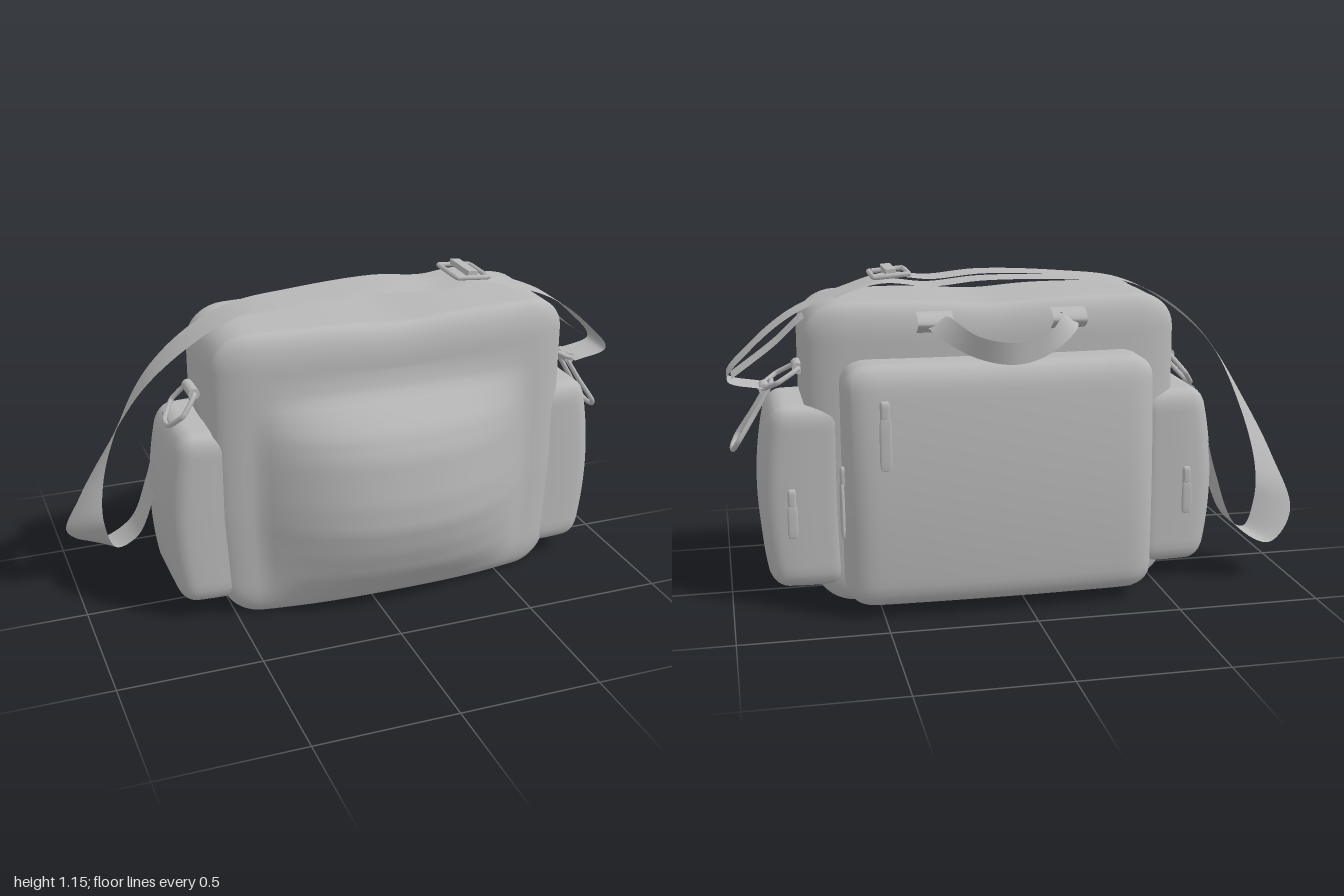
import * as THREE from 'three';
import { mergeVertices } from 'three/addons/utils/BufferGeometryUtils.js';

const V = (x, y, z) => new THREE.Vector3(x, y, z);
const clamp = THREE.MathUtils.clamp;

export function createModel() {
  const bag = new THREE.Group();
  bag.name = 'shoulderBag';
  const fabric = new THREE.MeshStandardMaterial({ color: 0xb8b8b8, side: THREE.DoubleSide });
  fabric.name = 'grey fabric';

  function add(name, geometry, parent = bag) {
    const mesh = new THREE.Mesh(geometry, fabric);
    mesh.name = name;
    parent.add(mesh);
    return mesh;
  }

  // Box from lo to hi with elliptical corner radii, then bent by a rule
  function softBox(lo, hi, radius, warp, seg = 30) {
    const half = hi.map((h, i) => (h - lo[i]) / 2);
    const mid = hi.map((h, i) => (h + lo[i]) / 2);
    let g = new THREE.BoxGeometry(half[0] * 2, half[1] * 2, half[2] * 2, seg, seg, seg);
    g.deleteAttribute('uv');
    g.deleteAttribute('normal');
    g = mergeVertices(g, 1e-5);
    const pos = g.attributes.position;
    const p = V(), d = V(), core = V();
    for (let i = 0; i < pos.count; i++) {
      p.fromBufferAttribute(pos, i);
      for (let k = 0; k < 3; k++) {
        const inner = half[k] - radius[k];
        const c = clamp(p.getComponent(k), -inner, inner);
        core.setComponent(k, c);
        d.setComponent(k, (p.getComponent(k) - c) / radius[k]);
      }
      d.normalize();
      for (let k = 0; k < 3; k++) {
        p.setComponent(k, mid[k] + core.getComponent(k) + d.getComponent(k) * radius[k]);
      }
      if (warp) warp(p);
      pos.setXYZ(i, p.x, p.y, p.z);
    }
    g.computeVertexNormals();
    return g;
  }

  // Flat band through rows of [x, y, z, widthX, widthY, widthZ]
  function ribbon(rows, width, steps = 80) {
    const edge = (s) => new THREE.CatmullRomCurve3(rows.map(([x, y, z, a, b, c]) =>
      V(x, y, z).addScaledVector(V(a, b, c).normalize(), s * width / 2)));
    const left = edge(-1), right = edge(1), pts = [], index = [];
    for (let i = 0; i <= steps; i++) {
      pts.push(left.getPoint(i / steps), right.getPoint(i / steps));
      if (i < steps) index.push(2 * i, 2 * i + 1, 2 * i + 2, 2 * i + 1, 2 * i + 3, 2 * i + 2);
    }
    const g = new THREE.BufferGeometry().setFromPoints(pts);
    g.setIndex(index);
    g.computeVertexNormals();
    return g;
  }

  // Closed wire loop
  const wire = (points, r) => new THREE.TubeGeometry(
    new THREE.CatmullRomCurve3(points.map((p) => V(...p)), true, 'catmullrom', 0.35), 48, r, 8, true);

  // Swell of the front panel as [height, depth]
  const swell = [[0, 0.01], [0.08, 0.05], [0.16, 0.11], [0.26, 0.15], [0.36, 0.175], [0.46, 0.174],
    [0.62, 0.152], [0.7, 0.12], [0.76, 0.07], [0.82, 0.015], [0.88, 0], [1.2, 0]];
  function swellAt(y) {
    const i = clamp(swell.findIndex((s) => s[0] >= y), 1, swell.length - 1);
    const [a, b] = [swell[i - 1], swell[i]];
    return THREE.MathUtils.lerp(a[1], b[1], clamp((y - a[0]) / (b[0] - a[0]), 0, 1));
  }

  // Main compartment with swollen front and slightly dipped top
  add('mainBody', softBox([-0.56, 0.005, -0.235], [0.735, 1.055, 0.245], [0.14, 0.12, 0.055], (p) => {
    const u = clamp(Math.abs(p.x - 0.08) / 0.65, 0, 1);
    p.z *= 1 - 0.17 * u ** 3;
    if (p.z > 0) {
      const f = Math.max(0, 1 - (Math.abs(p.x - 0.08) / 0.5) ** 2.3);
      p.z += swellAt(p.y) * f * clamp(p.z / 0.2, 0, 1);
    }
    if (p.y > 0.9) p.y -= 0.015 * Math.exp(-(((p.x - 0.1) / 0.15) ** 2));
    if (p.y < 0.4) p.x = 0.0875 + (p.x - 0.0875) * (1 - 0.04 * (1 - p.y / 0.4));
  }, 44));

  // Back pocket, thickest below its middle
  add('backPocket', softBox([-0.44, 0.04, -0.375], [0.62, 0.87, -0.15], [0.09, 0.075, 0.06], (p) => {
    if (p.z > -0.25) return;
    const w = (-0.25 - p.z) / 0.125;
    const u = (p.x - 0.09) / 0.53, v = (p.y - 0.38) / 0.48;
    p.z -= w * (0.04 * (1 - 0.5 * u * u) - 0.035 * v * v);
  }));

  // Side pockets, bulging outwards at mid height
  for (const [name, x0, x1, side] of [['leftPocket', 0.6, 0.85, 1], ['rightPocket', -0.675, -0.44, -1]]) {
    add(name, softBox([x0, 0.07, -0.21], [x1, 0.71, 0.19], [0.05, 0.06, 0.05], (p) => {
      const out = side > 0 ? (p.x - x0) / (x1 - x0) : (x1 - p.x) / (x1 - x0);
      p.x += side * out * 0.045 * Math.max(0, 1 - ((p.y - 0.37) / 0.34) ** 2);
      p.z *= 1 - 0.12 * out ** 4;
    }, 24));
  }

  // Shoulder strap: over the top, then a twisted loop on one side
  add('shoulderStrap', ribbon([
    [0.86, 0.75, 0, 0, 0, 1], [0.985, 0.785, 0, 0, 0, 1], [0.9, 0.89, 0, 0, 0, 1], [0.76, 1.0, 0.005, 0, 0, 1],
    [0.58, 1.075, 0.005, 0, 0, 1], [0.42, 1.12, 0.005, 0, 0, 1], [0.28, 1.11, 0.005, 0, 0, 1],
    [0.1, 1.125, 0, 0, 0, 1], [-0.2, 1.11, 0, 0, 0, 1], [-0.42, 1.08, -0.005, 0, 0, 1],
    [-0.58, 1.0, -0.015, 0, 0, 1], [-0.74, 0.85, -0.04, -0.2, 0, 1], [-0.86, 0.62, -0.09, -0.5, 0, 1],
    [-0.93, 0.42, -0.14, -0.9, 0, 0.8], [-0.955, 0.26, -0.18, -1, -0.3, -0.3], [-0.88, 0.16, -0.215, -0.4, -0.2, -1],
    [-0.78, 0.22, -0.19, 0, 0, -1], [-0.72, 0.4, -0.14, 0, 0, -1], [-0.69, 0.58, -0.08, 0, 0, -1],
    [-0.665, 0.7, -0.04, 0, 0, -1]], 0.14, 160));
  add('strapUnderLayer', ribbon([
    [-0.42, 1.075, 0, 0, 0, 1], [-0.2, 1.095, 0, 0, 0, 1], [0.1, 1.1, 0, 0, 0, 1], [0.28, 1.085, 0, 0, 0, 1],
    [0.45, 1.1, 0, 0, 0, 1], [0.6, 1.06, 0, 0, 0, 1], [0.72, 0.99, 0, 0, 0, 1], [0.82, 0.9, 0, 0, 0, 1],
    [0.97, 0.79, 0, 0, 0, 1]], 0.135));

  // Strap adjuster: rounded frame with a centre bar
  const buckle = new THREE.Group();
  buckle.name = 'strapBuckle';
  buckle.position.set(0.42, 1.127, 0.005);
  buckle.rotation.z = -0.08;
  bag.add(buckle);
  add('buckleFrame', wire([[-0.06, 0, -0.07], [-0.05, 0, -0.083], [0.05, 0, -0.083], [0.06, 0, -0.07],
    [0.06, 0, 0.07], [0.05, 0, 0.083], [-0.05, 0, 0.083], [-0.06, 0, 0.07]], 0.009), buckle);
  add('buckleBar', new THREE.BoxGeometry(0.035, 0.02, 0.16), buckle).position.y = 0.012;

  // Carry handle drooping over the back, with its two sewn tabs
  add('carryHandle', ribbon([
    [-0.16, 1.0, -0.24, 1, 0.3, 0], [-0.15, 0.985, -0.3, 0.7, 0.8, 0], [-0.06, 0.925, -0.37, 0.1, 1, -0.2],
    [0.06, 0.905, -0.41, 0, 1, -0.1], [0.18, 0.925, -0.375, -0.1, 1, -0.2], [0.28, 0.985, -0.3, -0.7, 0.8, 0],
    [0.3, 1.0, -0.24, -1, 0.3, 0]], 0.075, 60));
  for (const x of [-0.16, 0.3]) {
    add('handleTab', ribbon([[x, 1.025, -0.205, 1, 0, 0], [x, 1.015, -0.25, 1, 0, 0],
      [x, 0.985, -0.275, 1, 0, 0], [x, 0.955, -0.235, 1, 0, 0]], 0.12, 16));
  }

  // Rings and webbing stubs joining the strap to both ends
  for (const [name, a, b] of [['left', [0.745, 0.815], [0.87, 0.745]], ['right', [-0.585, 0.81], [-0.675, 0.7]]]) {
    const at = (t, z) => [a[0] + (b[0] - a[0]) * t, a[1] + (b[1] - a[1]) * t, z - 0.008];
    add(name + 'Ring', wire([at(0, -0.05), at(0.5, -0.082), at(0.65, -0.075), at(1, -0.03), at(1, 0.03),
      at(0.65, 0.075), at(0.5, 0.082), at(0, 0.05)], 0.009));
    const stub = add(name + 'Stub', new THREE.CylinderGeometry(0.02, 0.02, 0.1, 12));
    stub.rotation.x = Math.PI / 2;
    stub.position.set(a[0], a[1], -0.008);
    const s = Math.sign(a[0]);
    add(name + 'StubWeb', ribbon([[a[0], a[1], -0.008, 0, 0, 1], [a[0] - s * 0.015, a[1] - 0.06, -0.008, 0, 0, 1],
      [a[0] - s * 0.03, a[1] - 0.13, -0.008, 0, 0, 1]], 0.09, 10));
  }

  // Snap hook hanging beside the pocket
  add('snapHook', wire([[0.84, 0.76, 0.015], [0.9, 0.66, 0.03], [0.955, 0.575, 0.045], [0.975, 0.54, 0.015],
    [0.975, 0.538, -0.045], [0.955, 0.575, -0.077], [0.9, 0.66, -0.06], [0.84, 0.76, -0.045]], 0.009));
  const swivel = add('hookSwivel', new THREE.CylinderGeometry(0.02, 0.02, 0.08, 10));
  swivel.rotation.x = Math.PI / 2;
  swivel.position.set(0.86, 0.745, -0.012);

  // Zip pulls: slider on top, long tag below; front of the pull faces +z
  function zipPull(name, x, y, z, turn, length, width, tilt = 0) {
    const pull = new THREE.Group();
    pull.name = name;
    pull.position.set(x, y, z);
    pull.rotation.set(0, turn, tilt);
    bag.add(pull);
    add('slider', softBox([-width * 0.4, 0, -0.02], [width * 0.4, 0.07, 0.012], [0.008, 0.01, 0.008], null, 6), pull);
    add('tag', softBox([-width / 2, -length, 0], [width / 2, 0.015, 0.014], [0.01, 0.01, 0.005], null, 6), pull);
  }
  zipPull('backPocketSidePull', 0.622, 0.455, -0.305, Math.PI / 2, 0.17, 0.045, 0.06);
  zipPull('backPocketPull', 0.49, 0.69, -0.392, Math.PI, 0.16, 0.04);
  zipPull('leftPocketPull', 0.79, 0.36, -0.212, Math.PI, 0.1, 0.035);
  zipPull('rightPocketPull', -0.61, 0.36, -0.212, Math.PI, 0.1, 0.035);

  return bag;
}
